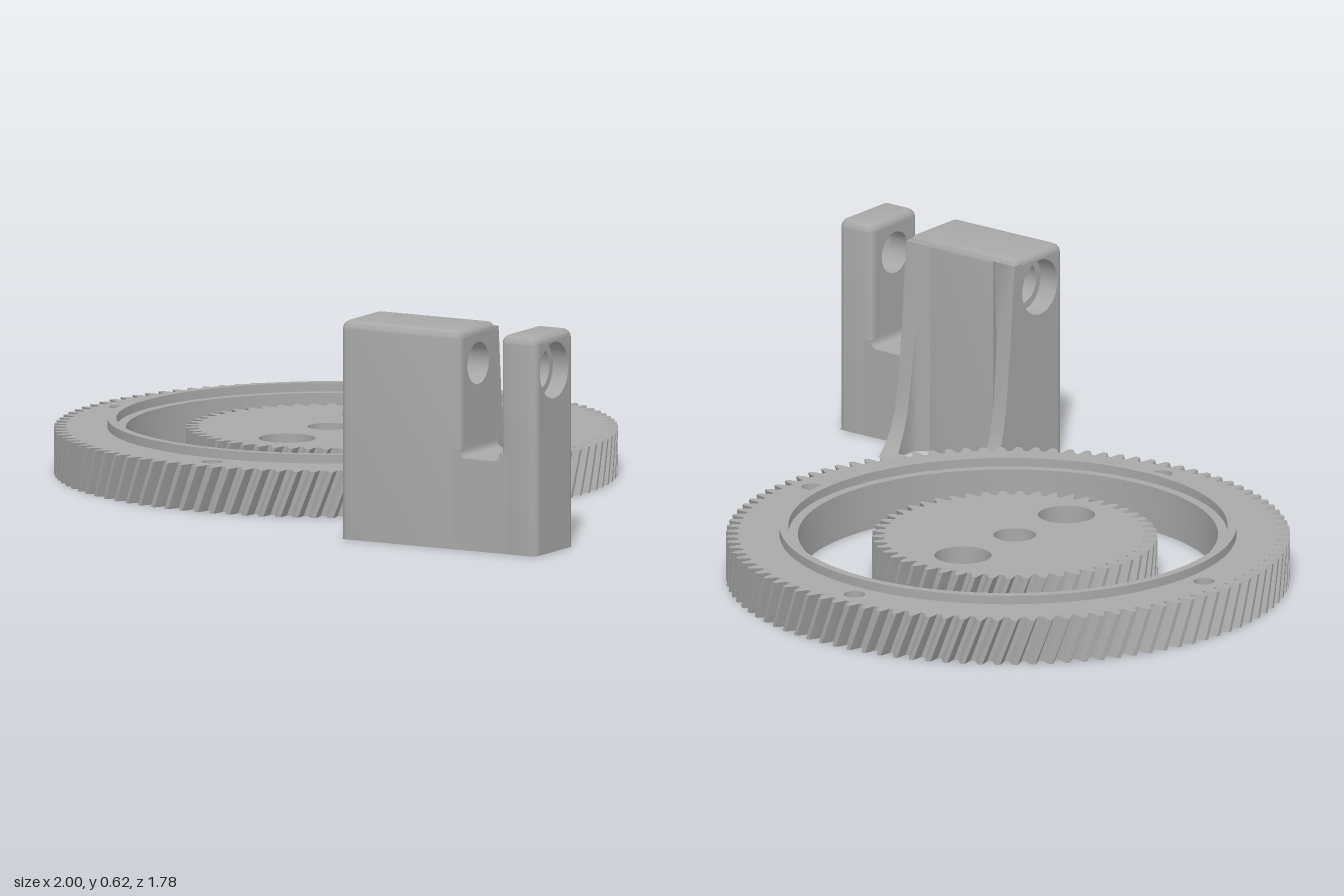
import * as THREE from 'three';
import { toCreasedNormals } from 'three/addons/utils/BufferGeometryUtils.js';

const grey = new THREE.MeshStandardMaterial({ color: 0xa8a8a8, side: THREE.DoubleSide });
grey.name = 'machined grey';
const V = (x, y, z) => new THREE.Vector3(x, y, z);

function add(parent, name, geo, x = 0, y = 0, z = 0) {
  const mesh = new THREE.Mesh(geo, grey);
  mesh.name = name;
  mesh.position.set(x, y, z);
  parent.add(mesh);
  return mesh;
}

// Skin joining rings of points, keeping edges sharp above the crease angle
function loft(rings, closed = true, crease = 0.6) {
  const n = rings[0].length, pos = [], idx = [];
  rings.forEach(r => r.forEach(p => pos.push(p.x, p.y, p.z)));
  for (let j = 0; j < rings.length - 1; j++) {
    for (let i = 0; i < (closed ? n : n - 1); i++) {
      const k = (i + 1) % n, a = j * n + i, b = j * n + k;
      idx.push(a, b, b + n, a, b + n, a + n);
    }
  }
  const geo = new THREE.BufferGeometry();
  geo.setAttribute('position', new THREE.Float32BufferAttribute(pos, 3));
  geo.setIndex(idx);
  return toCreasedNormals(geo, crease);
}

function withHoles(shape, holes) {
  holes.forEach(([x, y, r]) => shape.holes.push(new THREE.Path().absarc(x, y, r, 0, Math.PI * 2, true)));
  return new THREE.ShapeGeometry(shape, 20);
}

// Horizontal face from a ring of points; holes are [x, z, radius]
function flatFace(points, up, holes = []) {
  const s = up ? -1 : 1;
  const shape = new THREE.Shape(points.map(p => new THREE.Vector2(p.x, s * p.z)));
  return withHoles(shape, holes.map(([x, z, r]) => [x, s * z, r])).rotateX(s * Math.PI / 2);
}

// Open bore walls: upright, or along x
const bore = (r, len) => new THREE.CylinderGeometry(r, r, len, 40, 1, true).translate(0, len / 2, 0);
const boreX = (r, len) => bore(r, len).rotateZ(-Math.PI / 2);

// Tooth outline at a given height and twist
function toothRing(tip, teeth, y, twist) {
  const m = tip / (teeth / 2 + 1), root = tip - 2.25 * m, pitch = Math.PI * 2 / teeth, pts = [];
  const profile = [[-0.36, root], [-0.25, tip - m], [-0.12, tip], [0.12, tip], [0.25, tip - m], [0.36, root]];
  for (let i = 0; i < teeth; i++) {
    for (const [f, r] of profile) {
      const a = (i + f) * pitch + twist;
      pts.push(V(r * Math.sin(a), y, r * Math.cos(a)));
    }
  }
  return pts;
}

// Helical gear body with top and bottom faces
function helicalGear(name, tip, teeth, height, topHoles, bottomHoles) {
  const group = new THREE.Group();
  group.name = name;
  const twist = height * Math.tan(0.36) / tip, rings = [];
  for (let i = 0; i <= 4; i++) rings.push(toothRing(tip, teeth, height * i / 4, twist * i / 4));
  add(group, 'helicalTeeth', loft(rings, true, 0.3));
  add(group, 'topFace', flatFace(rings[4], true, topHoles), 0, height);
  add(group, 'bottomFace', flatFace(rings[0], false, bottomHoles));
  return group;
}

function ringGear() {
  const h = 0.13, d = 0.697;
  const bolts = [[0, d], [0, -d], [d, 0], [-d, 0]].map(([x, z]) => [x, z, 0.03]);
  const gear = helicalGear('ringGear', 0.79, 100, h, [[0, 0, 0.64], ...bolts], [[0, 0, 0.588], ...bolts]);
  bolts.forEach(([x, z, r]) => add(gear, 'boltHole', bore(r, h), x, 0, z));
  // Raised lip, inner step and central bore
  const lip = [[0.64, h], [0.64, 0.155], [0.615, 0.155], [0.615, h], [0.588, h], [0.588, 0]]
    .map(([r, y]) => new THREE.Vector2(r, y));
  add(gear, 'raisedLip', toCreasedNormals(new THREE.LatheGeometry(lip, 96), 0.6));
  return gear;
}

function smallGear() {
  const h = 0.13, d = 0.235, seat = 0.07;
  const gear = helicalGear('smallGear', 0.4, 50, h,
    [[0, 0, 0.06], [0, d, 0.08], [0, -d, 0.08]], [[0, 0, 0.06], [0, d, 0.035], [0, -d, 0.035]]);
  add(gear, 'shaftHole', bore(0.06, h));
  for (const z of [d, -d]) {
    add(gear, 'screwHole', bore(0.035, seat), 0, 0, z);
    add(gear, 'counterbore', bore(0.08, h - seat), 0, seat, z);
    add(gear, 'screwSeat', new THREE.RingGeometry(0.035, 0.08, 40).rotateX(-Math.PI / 2), 0, seat, z);
  }
  return gear;
}

const Z0 = 0.675, Z1 = 0.89, TOP = 0.62, R = 0.022, AXLE_Y = 0.515, AXLE_Z = 0.785;

// Upright section of a tower, inset towards its ends
function towerRing(x, inset) {
  const z0 = Z0 + inset, z1 = Z1 - inset, y1 = TOP - inset, c = R - inset + 0.003;
  const pts = [V(x, 0, z0)];
  for (let k = 0; k <= 5; k++) {
    const a = k / 5 * Math.PI / 2;
    pts.push(V(x, y1 - c + c * Math.sin(a), z0 + c - c * Math.cos(a)));
  }
  for (let k = 0; k <= 5; k++) {
    const a = k / 5 * Math.PI / 2;
    pts.push(V(x, y1 - c + c * Math.cos(a), z1 - c + c * Math.sin(a)));
  }
  pts.push(V(x, 0, z1));
  return pts;
}

// Rounded tower with an axle hole; outer is +1 or -1 for the counterbored end
function tower(name, x0, x1, outer, depth) {
  const group = new THREE.Group(), rings = [];
  group.name = name;
  for (let k = 0; k <= 5; k++) {
    const a = k / 5 * Math.PI / 2;
    rings.push(towerRing(x0 + R * (1 - Math.cos(a)), R * (1 - Math.sin(a))));
  }
  for (let k = 5; k >= 0; k--) {
    const a = k / 5 * Math.PI / 2;
    rings.push(towerRing(x1 - R * (1 - Math.cos(a)), R * (1 - Math.sin(a))));
  }
  add(group, 'towerSkin', loft(rings, false));
  for (const s of [-1, 1]) {
    const ring = s < 0 ? rings[0] : rings[rings.length - 1];
    const shape = new THREE.Shape(ring.map(p => new THREE.Vector2(-s * p.z, p.y)));
    const geo = withHoles(shape, [[-s * AXLE_Z, AXLE_Y, s === outer ? 0.08 : 0.06]]).rotateY(s * Math.PI / 2);
    add(group, 'endFace', geo, s < 0 ? x0 : x1);
  }
  const seat = outer > 0 ? x1 - depth : x0 + depth;
  add(group, 'axleHole', boreX(0.06, x1 - x0 - depth), outer > 0 ? x0 : seat, AXLE_Y, AXLE_Z);
  add(group, 'bearingPocket', boreX(0.08, depth), outer > 0 ? seat : x0, AXLE_Y, AXLE_Z);
  add(group, 'bearingSeat', new THREE.RingGeometry(0.06, 0.08, 40).rotateY(outer * Math.PI / 2), seat, AXLE_Y, AXLE_Z);
  return group;
}

// Curved rear rib, wide at the foot and fading out at the top
function rib(parent, name, x, s) {
  const reach = [[0, 0.13], [0.03, 0.1], [0.07, 0.075], [0.12, 0.057], [0.2, 0.042], [0.37, 0.024], [0.605, 0.005]];
  const width = d => 0.045 + 0.035 * Math.max(0, 1 - d / 0.035) ** 2 + 0.017 * Math.max(0, (d - 0.05) / 0.08) ** 2;
  const rings = reach.map(([y, d]) => {
    const pts = [V(x, y, 0.7), V(x + s * 0.08, y, 0.7)];
    for (let k = 0; k <= 8; k++) {
      const e = d * k / 8;
      pts.push(V(x + s * width(e), y, Z0 - e));
    }
    pts.push(V(x, y, Z0 - d));
    return s < 0 ? pts.reverse() : pts;
  });
  add(parent, name, loft(rings));
  add(parent, name + 'Foot', flatFace(rings[0], false));
  add(parent, name + 'Top', flatFace(rings[rings.length - 1], true), 0, 0.605);
}

function bracket() {
  const group = new THREE.Group();
  group.name = 'mountBracket';
  group.add(tower('mainTower', 0.37, 0.755, -1, 0.06), tower('sidePost', 0.885, 1, 1, 0.05));

  // Slot floor between the towers, with filleted corners
  const s = new THREE.Shape();
  s.moveTo(0.73, 0).lineTo(0.91, 0).lineTo(0.91, 0.285).lineTo(0.885, 0.285);
  s.quadraticCurveTo(0.885, 0.26, 0.86, 0.26).lineTo(0.78, 0.26);
  s.quadraticCurveTo(0.755, 0.26, 0.755, 0.285).lineTo(0.73, 0.285);
  const floor = new THREE.ExtrudeGeometry(s, { depth: Z1 - Z0, bevelEnabled: false, curveSegments: 6 });
  add(group, 'slotFloor', floor, 0, 0, Z0);

  // Underside with blind screw holes
  const holes = [];
  for (const x of [0.43, 0.685, 0.935]) for (const z of [0.725, 0.84]) holes.push([x, z, 0.017]);
  const c = 0.006;
  const base = [V(0.37 + c, 0, Z0), V(0.37, 0, Z0 + c), V(0.37, 0, Z1 - c), V(0.37 + c, 0, Z1),
    V(1 - c, 0, Z1), V(1, 0, Z1 - c), V(1, 0, Z0 + c), V(1 - c, 0, Z0)];
  add(group, 'underside', flatFace(base, false, holes));
  holes.forEach(([x, z, r]) => add(group, 'blindHole', bore(r, 0.08), x, 0, z));
  add(group, 'holeCeiling', new THREE.BoxGeometry(0.56, 0.02, 0.17), 0.685, 0.09, 0.7825);

  rib(group, 'outerRib', 0.37, 1);
  rib(group, 'innerRib', 0.755, -1);
  return group;
}

export function createModel() {
  const model = new THREE.Group();
  model.name = 'gearSet';
  const ring = ringGear(), small = smallGear();
  ring.position.set(-0.21, 0, -0.1);
  small.position.set(-0.23, 0, -0.095);
  model.add(ring, small, bracket());
  return model;
}
